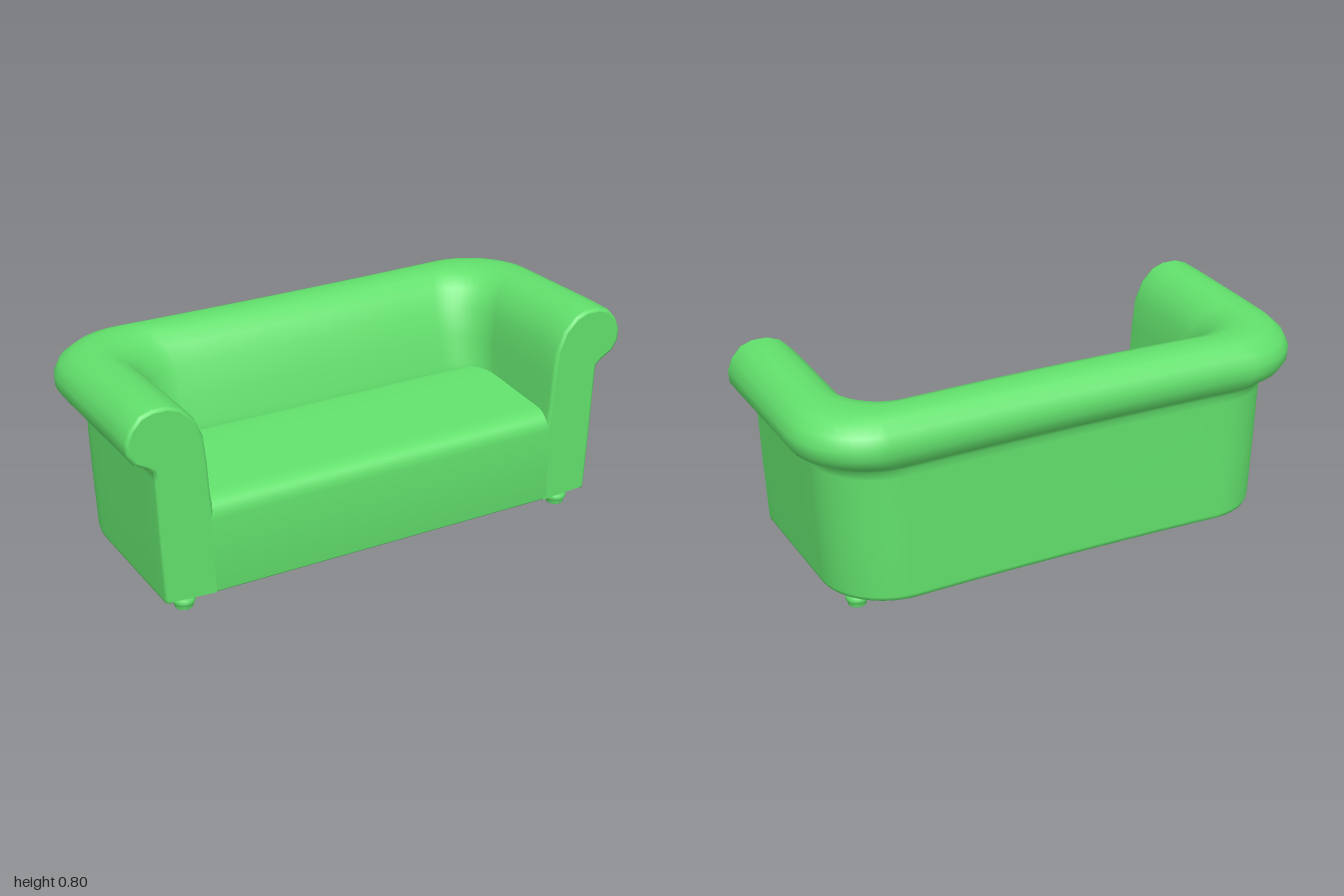
import * as THREE from 'three';
import { toCreasedNormals } from 'three/addons/utils/BufferGeometryUtils.js';

const FRONT = 0.427;
const BASE = 0.055;

// Section of the arm and back, from the outer foot over the roll to the seat:
// [height, half width at the arms, depth at the back, plan corner radius]
const SECTION = [
  [0.055, 0.865, 0.355, 0.24], [0.06, 0.878, 0.367, 0.25], [0.075, 0.882, 0.37, 0.25],
  [0.3, 0.893, 0.372, 0.25], [0.54, 0.902, 0.373, 0.25], [0.572, 0.905, 0.376, 0.25],
  [0.59, 0.93, 0.388, 0.25], [0.615, 0.973, 0.41, 0.26], [0.655, 0.998, 0.425, 0.27],
  [0.70, 1.0, 0.426, 0.27], [0.745, 0.982, 0.41, 0.26], [0.785, 0.945, 0.375, 0.25],
  [0.80, 0.9, 0.335, 0.23], [0.80, 0.845, 0.28, 0.21], [0.782, 0.797, 0.235, 0.2],
  [0.735, 0.75, 0.192, 0.18], [0.66, 0.718, 0.153, 0.17], [0.55, 0.706, 0.117, 0.15],
  [0.45, 0.7, 0.09, 0.14], [0.4, 0.693, 0.08, 0.14], [0.33, 0.69, 0.08, 0.14],
];

// Inward shift of a section point, used to round the front edge
function insetPoint(i, amount) {
  const a = SECTION[Math.max(i - 1, 0)];
  const b = SECTION[Math.min(i + 1, SECTION.length - 1)];
  const dx = b[1] - a[1], dy = b[0] - a[0], len = Math.hypot(dx, dy);
  return [SECTION[i][1] - (dy / len) * amount, SECTION[i][0] + (dx / len) * amount];
}

// Path of one section point: right arm front, corner, middle of back, mirrored
function planPath(i) {
  const [y, X, Z, r] = SECTION[i];
  const half = [];
  for (const [z, amount] of [[FRONT, 0.012], [FRONT - 0.004, 0.004], [FRONT - 0.013, 0]]) {
    const [px, py] = insetPoint(i, amount);
    half.push(new THREE.Vector3(px, py, z));
  }
  for (let k = 1; k <= 5; k++) {
    half.push(new THREE.Vector3(X, y, THREE.MathUtils.lerp(FRONT - 0.013, r - Z, k / 5)));
  }
  for (let k = 1; k <= 10; k++) {
    const a = (k / 10) * Math.PI / 2;
    half.push(new THREE.Vector3(X - r + r * Math.cos(a), y, r - Z - r * Math.sin(a)));
  }
  for (let k = 1; k <= 6; k++) {
    const t = 1 - k / 6;
    half.push(new THREE.Vector3((X - r) * t, y, -Z + 0.012 * (1 - t * t)));
  }
  // The roll sinks slightly towards the back
  const weight = THREE.MathUtils.clamp((y - 0.6) / 0.2, 0, 1);
  for (const p of half) {
    p.y -= 0.025 * weight * THREE.MathUtils.clamp((0.3 - p.z) / 0.7, 0, 1);
  }
  const other = half.slice(0, -1).reverse().map(p => new THREE.Vector3(-p.x, p.y, p.z));
  return half.concat(other);
}

// Skin between the paths of all section points
function sweepGeometry(paths) {
  const n = paths[0].length, index = [];
  for (let i = 0; i < paths.length - 1; i++) {
    for (let s = 0; s < n - 1; s++) {
      const a = i * n + s, b = a + n;
      index.push(a, a + 1, b, a + 1, b + 1, b);
    }
  }
  const geo = new THREE.BufferGeometry().setFromPoints(paths.flat());
  geo.setIndex(index);
  geo.computeVertexNormals();
  return geo;
}

export function createModel() {
  const model = new THREE.Group();
  model.name = 'sofa';
  const fabric = new THREE.MeshStandardMaterial({ color: 0x62e06c });
  const add = (name, geometry) => {
    const mesh = new THREE.Mesh(geometry, fabric);
    mesh.name = name;
    model.add(mesh);
    return mesh;
  };

  // Arms and back in one sweep
  const paths = SECTION.map((_, i) => planPath(i));
  add('armsAndBack', sweepGeometry(paths));

  // Flat arm fronts
  for (const side of [1, -1]) {
    const outline = paths.map(p => new THREE.Vector2(side * p[0].x, p[0].y));
    outline.push(new THREE.Vector2(side * 0.69, BASE));
    const cap = add(side > 0 ? 'leftArmFront' : 'rightArmFront',
      new THREE.ShapeGeometry(new THREE.Shape(outline)));
    cap.position.z = FRONT;
  }

  // Underside
  const plan = new THREE.Shape(paths[0].map(p => new THREE.Vector2(p.x, p.z)));
  add('underside', new THREE.ShapeGeometry(plan).rotateX(Math.PI / 2)).position.y = BASE;

  // Seat with a soft front edge and a shallow groove at the back
  const seat = new THREE.Shape();
  seat.moveTo(-0.2, BASE);
  seat.lineTo(FRONT - 0.01, BASE);
  seat.quadraticCurveTo(FRONT, BASE, FRONT, BASE + 0.01);
  seat.lineTo(FRONT, 0.34);
  seat.bezierCurveTo(FRONT, 0.39, 0.4, 0.415, 0.34, 0.418);
  seat.bezierCurveTo(0.2, 0.425, 0.05, 0.438, -0.03, 0.438);
  seat.quadraticCurveTo(-0.075, 0.438, -0.085, 0.415);
  seat.lineTo(-0.2, 0.415);
  const seatGeo = new THREE.ExtrudeGeometry(seat, { depth: 1.41, bevelEnabled: false, curveSegments: 10 });
  seatGeo.translate(0, 0, -0.705).rotateY(-Math.PI / 2);
  add('seat', toCreasedNormals(seatGeo, 0.7));

  // Turned feet
  const footProfile = [[0, 0], [0.032, 0], [0.034, 0.004], [0.033, 0.01], [0.039, 0.018], [0.042, 0.028],
    [0.039, 0.038], [0.033, 0.046], [0.034, 0.06]].map(([x, y]) => new THREE.Vector2(x, y));
  const footGeo = toCreasedNormals(new THREE.LatheGeometry(footProfile, 20), 0.9);
  for (const x of [-0.79, 0.79]) {
    for (const z of [0.367, -0.218]) {
      add((z > 0 ? 'front' : 'back') + (x > 0 ? 'Left' : 'Right') + 'Foot', footGeo).position.set(x, 0, z);
    }
  }
  return model;
}
